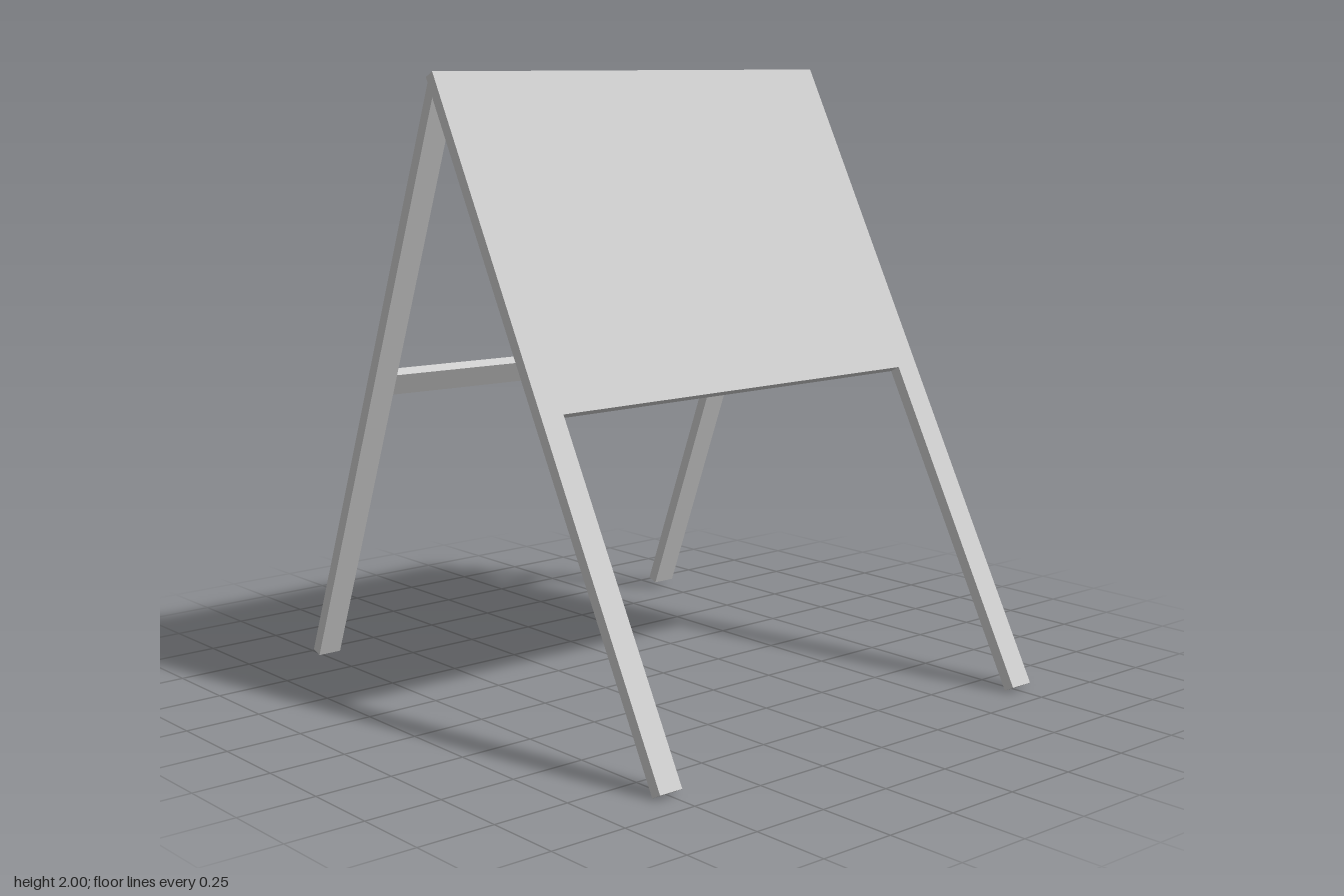
import * as THREE from 'three';

export function createModel() {
  const group = new THREE.Group();
  const grey = new THREE.MeshStandardMaterial({ color: 0xcccccc });
  grey.name = 'light grey';
  const thickness = 0.038;

  const add = (name, geometry) => {
    const mesh = new THREE.Mesh(geometry, grey);
    mesh.name = name;
    group.add(mesh);
    return mesh;
  };

  // Front board with its two legs, cut from one sheet and leaning back
  const height = 2.243, opening = 1.125;
  const outline = new THREE.Shape([
    [-0.8, 0], [-0.718, 0], [-0.718, opening], [0.714, opening],
    [0.714, 0], [0.8, 0], [0.8, height], [-0.8, height],
  ].map(([x, y]) => new THREE.Vector2(x, y)));
  const board = add('frontBoard', new THREE.ExtrudeGeometry(outline, { depth: thickness, bevelEnabled: false }));
  board.position.set(0, 0, 0.878);
  board.rotation.x = -Math.atan2(1.049, 1.982);

  // Rear legs leaning forward to the top of the board
  for (const [name, inner, outer] of [['rearLegRight', -0.718, -0.8], ['rearLegLeft', 0.714, 0.8]]) {
    const leg = add(name, new THREE.BoxGeometry(Math.abs(outer - inner), 2.079, thickness));
    leg.position.set((inner + outer) / 2, 0.998, -0.516);
    leg.rotation.x = Math.atan2(0.747, 1.935);
  }

  // Cross bar, set slightly askew between the rear legs
  const bar = add('crossBar', new THREE.BoxGeometry(1.449, 0.08, 0.036));
  const along = new THREE.Vector3(1.447, -0.0146, 0.0258).normalize();
  const up = new THREE.Vector3(0, 0.87, 0.493).normalize();
  const across = new THREE.Vector3().crossVectors(along, up).normalize();
  up.crossVectors(across, along);
  bar.quaternion.setFromRotationMatrix(new THREE.Matrix4().makeBasis(along, up, across));
  bar.position.set(-0.01, 0.991, -0.524);

  return group;
}
